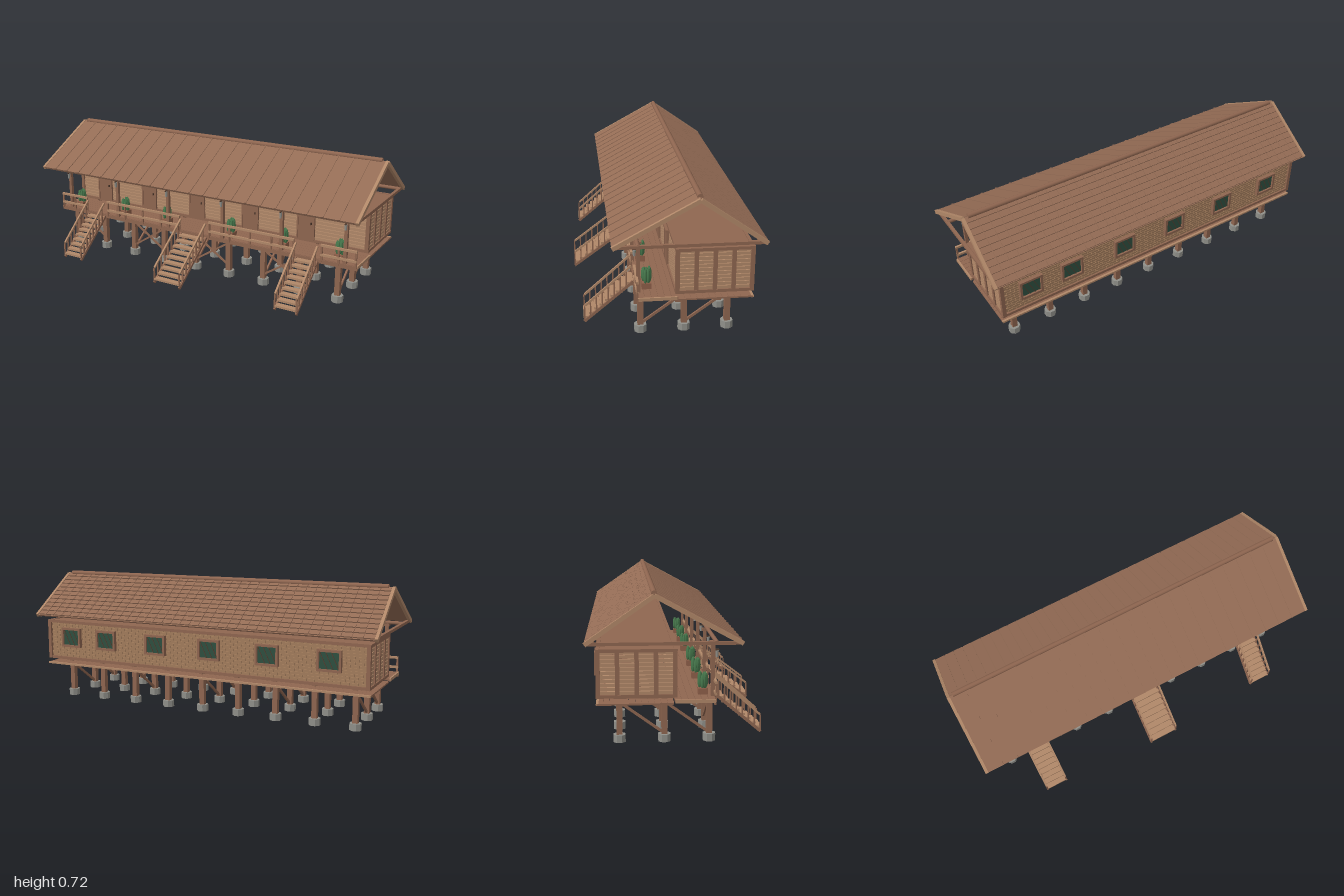
import * as THREE from 'three';
import { mergeGeometries } from 'three/addons/utils/BufferGeometryUtils.js';

const paint = (name, color) => {
  const m = new THREE.MeshStandardMaterial({ color });
  m.name = name;
  return m;
};

// Box centred on a point
function box(w, h, d, x, y, z) {
  return new THREE.BoxGeometry(w, h, d).translate(x, y, z);
}

// Square timber from a to b; w is across, h is thickness
function beam(a, b, w, h) {
  const p = new THREE.Vector3(...a), q = new THREE.Vector3(...b);
  const m = new THREE.Matrix4().lookAt(q, p, new THREE.Vector3(0, 1, 0));
  m.setPosition(p.clone().add(q).multiplyScalar(0.5));
  return new THREE.BoxGeometry(w, h, p.distanceTo(q)).applyMatrix4(m);
}

export function createModel() {
  const timber = paint('timber brown', 0x8f6650);
  const light = paint('light wood', 0xb08768);
  const roofing = paint('roof brown', 0x946c55);
  const dark = paint('dark wood', 0x553e30);
  const weave = paint('woven bamboo', 0xa37d5c);
  const stone = paint('stone grey', 0x90908a);
  const clay = paint('clay', 0x8f604a);
  const leaf = paint('leaf green', 0x47794d);
  const pane = paint('dark green glass', 0x2f4f40);

  const root = new THREE.Group();
  root.name = 'longhouse';
  const part = (name, material, list) => {
    const mesh = new THREE.Mesh(mergeGeometries(list.map(g => g.index ? g.toNonIndexed() : g)), material);
    mesh.name = name;
    root.add(mesh);
  };

  // Stilts on octagonal stone footings, with braces
  const stiltX = Array.from({ length: 9 }, (_, i) => -0.86 + i * 0.215);
  const stiltZ = [0.135, -0.075, -0.285];
  const stilts = [], footings = [], braces = [], joists = [];
  stiltX.forEach((x, i) => {
    for (const z of stiltZ) {
      stilts.push(box(0.028, 0.19, 0.028, x, 0.13, z));
      footings.push(new THREE.CylinderGeometry(0.031, 0.031, 0.036, 8).toNonIndexed()
        .rotateY(Math.PI / 8).translate(x, 0.022, z));
    }
    joists.push(box(0.02, 0.013, 0.46, x, 0.216, -0.08));
    if (i % 2 === 0) for (const z of [0.122, -0.088])
      braces.push(beam([x, 0.05, z], [x, 0.185, z - 0.185], 0.01, 0.012));
    if (i % 2 === 0 && i < 8) {
      braces.push(beam([x, 0.06, 0.14], [x + 0.215, 0.2, 0.14], 0.008, 0.01));
      braces.push(beam([x, 0.2, 0.13], [x + 0.215, 0.06, 0.13], 0.008, 0.01));
    }
  });
  footings.forEach(g => g.computeVertexNormals());
  part('stilts', timber, stilts);
  part('footings', stone, footings);
  part('braces', timber, braces);
  part('joists', timber, joists);

  // Veranda deck and house floor
  const deck = [];
  for (let i = 0; i < 6; i++) deck.push(box(1.92, 0.013, 0.0295, 0, 0.219, 0.138 - i * 0.031));
  part('deckBoards', timber, deck);
  part('deckEnds', light, [-1, 1].map(s => box(0.008, 0.016, 0.182, s * 0.963, 0.218, 0.062)));
  part('deckEdge', timber, [box(1.93, 0.022, 0.01, 0, 0.212, 0.152)]);
  const floor = [];
  for (let i = 0; i < 12; i++) floor.push(box(1.92, 0.008, 0.0285, 0, 0.207, -0.05 - i * 0.0293));
  part('floorBoards', timber, floor);
  part('floorEdge', light, [box(1.92, 0.01, 0.012, 0, 0.207, -0.384)]);

  // Open slatted end walls and front wall in timber frames
  part('ceiling', timber, [box(1.89, 0.006, 0.34, 0, 0.454, -0.205)]);
  const frames = [], slats = [];
  for (const s of [-1, 1]) {
    for (let i = 0; i < 5; i++) frames.push(box(0.02, 0.225, 0.02, s * 0.945, 0.3475, -0.03 - i * 0.0875));
    for (const y of [0.2425, 0.4525]) frames.push(box(0.022, 0.015, 0.365, s * 0.945, y, -0.205));
    for (let i = 0; i < 11; i++) slats.push(box(0.012, 0.0155, 0.34, s * 0.943, 0.257 + i * 0.0186, -0.205));
  }
  for (const z of [-0.028, -0.38])
    for (const y of [0.2425, 0.4525]) frames.push(box(1.9, 0.015, 0.016, 0, y, z));
  for (let i = 0; i < 11; i++) slats.push(box(1.87, 0.0155, 0.01, 0, 0.257 + i * 0.0186, -0.032));
  part('wallFrames', timber, frames);
  part('wallSlats', light, slats);

  // Back wall of staggered woven strips
  const strips = [box(1.88, 0.205, 0.008, 0, 0.3475, -0.371)];
  for (let r = 0; r < 14; r++) for (let c = 0; c < 42; c++)
    strips.push(box(0.041, 0.0122, 0.006, -0.92 + c * 0.0444 + (r % 2) * 0.02, 0.257 + r * 0.0145, -0.377));
  part('wovenBackWall', weave, strips);

  // Back windows with lattice
  const winFrames = [], panes = [], lattice = [];
  for (const x of [0.79, 0.555, 0.235, -0.09, -0.42, -0.75]) {
    for (const s of [-1, 1]) {
      winFrames.push(box(0.012, 0.11, 0.022, x + s * 0.057, 0.365, -0.389));
      winFrames.push(box(0.126, 0.012, 0.022, x, 0.365 + s * 0.049, -0.389));
    }
    panes.push(box(0.106, 0.09, 0.009, x, 0.365, -0.385));
    for (const o of [-0.03, 0, 0.03])
      lattice.push(beam([x + o - 0.02, 0.322, -0.391], [x + o + 0.02, 0.408, -0.391], 0.003, 0.003));
  }
  part('windowFrames', timber, winFrames);
  part('windowPanes', pane, panes);
  part('windowLattice', dark, lattice);

  // Front doors
  const doors = [], doorFrames = [], handles = [];
  for (const x of [-0.765, -0.43, -0.09, 0.26, 0.6]) {
    doors.push(box(0.088, 0.175, 0.012, x, 0.335, -0.026));
    for (const s of [-1, 1]) doorFrames.push(box(0.008, 0.185, 0.016, x + s * 0.048, 0.338, -0.024));
    doorFrames.push(box(0.115, 0.01, 0.024, x, 0.428, -0.022));
    handles.push(box(0.006, 0.012, 0.01, x + 0.032, 0.34, -0.016));
  }
  part('doors', timber, doors);
  part('doorFrames', timber, doorFrames);
  part('doorHandles', dark, handles);

  // Veranda posts, lamps and potted plants
  const postX = Array.from({ length: 6 }, (_, i) => -0.895 + i * 0.358);
  const posts = [], lamps = [], hooks = [], pots = [], leaves = [];
  postX.forEach((x, i) => {
    posts.push(box(0.018, 0.28, 0.018, x, 0.345, 0.147));
    posts.push(box(0.026, 0.012, 0.03, x, 0.478, 0.147));
    hooks.push(box(0.006, 0.006, 0.022, x, 0.443, 0.164));
    lamps.push(new THREE.CylinderGeometry(0.008, 0.006, 0.03, 8).translate(x, 0.425, 0.165));
    const px = [-0.85, -0.515, -0.215, 0.21, 0.53, 0.85][i];
    pots.push(box(0.046, 0.03, 0.046, px, 0.241, 0.105));
    for (let k = 0; k < 11; k++) {
      const a = k * 2.4, r = k ? 0.016 : 0;
      leaves.push(new THREE.IcosahedronGeometry(1, 1).scale(0.0095, 0.036 + (k % 3) * 0.003, 0.0095)
        .translate(px + Math.cos(a) * r, 0.287 + (k % 4) * 0.003, 0.105 + Math.sin(a) * r));
    }
  });
  part('verandaPosts', timber, posts);
  part('lampHooks', dark, hooks);
  part('lamps', stone, lamps);
  part('plantPots', clay, pots);
  part('plantLeaves', leaf, leaves);

  // Veranda railing, open at the stairs
  const rails = [], balusters = [];
  for (const [a, b] of [[-0.96, -0.765], [-0.615, -0.095], [0.095, 0.615], [0.765, 0.96]]) {
    for (const y of [0.302, 0.25]) rails.push(box(b - a, 0.012, 0.012, (a + b) / 2, y, 0.156));
    const n = Math.max(2, Math.round((b - a) / 0.13));
    for (let i = 0; i <= n; i++)
      balusters.push(box(0.01, 0.09, 0.008, a + 0.005 + (b - a - 0.01) * i / n, 0.258, 0.156));
  }
  part('verandaRails', light, rails);
  part('verandaBalusters', timber, balusters);

  // Three stairs with handrails
  const stringers = [], treads = [], handrails = [], stairBalusters = [];
  for (const [x, w, end] of [[-0.69, 0.13, 0.4], [0, 0.172, 0.438], [0.69, 0.13, 0.4]]) {
    for (const s of [-1, 1]) {
      const sx = x + s * (w / 2 - 0.005);
      stringers.push(beam([sx, 0.008, end], [sx, 0.21, 0.16], 0.01, 0.014));
      handrails.push(beam([sx, 0.093, end - 0.005], [sx, 0.294, 0.168], 0.01, 0.01));
      for (let i = 0; i < 8; i++) {
        const t = i / 8;
        stairBalusters.push(box(0.008, 0.08, 0.007, sx, 0.05 + t * 0.2, end - 0.002 - t * (end - 0.165)));
      }
    }
    for (let i = 0; i < 9; i++) {
      const t = (i + 0.5) / 9;
      treads.push(box(w - 0.012, 0.011, 0.034, x, 0.018 + t * 0.195, end - t * (end - 0.16)));
    }
  }
  part('stairStringers', timber, stringers);
  part('stairTreads', light, treads);
  part('stairHandrails', light, handrails);
  part('stairBalusters', timber, stairBalusters);

  // Gable tie beams, barge boards and round wall plates
  const ties = [], plates = [], barges = [];
  const ridge = [0.704, -0.125];
  const eaves = [[0.488, 0.272], [0.488, -0.436]];
  for (const s of [-1, 1]) {
    ties.push(box(0.016, 0.015, 0.69, s * 0.98, 0.489, -0.082));
    for (const [y, z] of eaves) barges.push(beam([s * 0.991, y, z], [s * 0.991, ...ridge], 0.016, 0.02));
  }
  for (const z of [0.155, -0.405])
    plates.push(new THREE.CylinderGeometry(0.01, 0.01, 1.96, 8).rotateZ(Math.PI / 2).translate(0, 0.49, z));
  part('tieBeams', timber, ties);
  part('wallPlates', timber, plates);
  part('bargeBoards', light, barges);

  // Front slope of long boards, each joint covered by a narrow batten
  const [fy, fz] = eaves[0], [by, bz] = eaves[1];
  const frontRoof = [beam([0, fy + 0.002, fz], [0, ridge[0] + 0.002, ridge[1]], 1.966, 0.012)];
  for (let i = 1; i < 23; i++) {
    const x = -0.985 + i * 1.97 / 23;
    frontRoof.push(beam([x, fy + 0.006, fz + 0.002], [x, ridge[0] + 0.006, ridge[1]], 0.008, 0.01));
  }
  part('frontRoof', roofing, frontRoof);

  // Back slope of overlapping shingles
  part('backRoofBase', roofing, [beam([0, by, bz], [0, ...ridge], 1.966, 0.008)]);
  const shingles = [], rows = 11, cols = 36, step = 1.966 / cols;
  for (let r = 0; r < rows; r++) for (let c = 0; c < cols; c++) {
    const at = (t, lift) => [-0.983 + (c + 0.5) * step, by + (ridge[0] - by) * t + lift, bz + (ridge[1] - bz) * t];
    shingles.push(beam(at(r / rows, 0.009), at((r + 1) / rows, 0.004), step - 0.003, 0.006));
  }
  part('backRoofShingles', roofing, shingles);

  // Ridge cap
  part('ridgeCap', timber, [new THREE.CylinderGeometry(0.014, 0.014, 1.93, 10).rotateZ(Math.PI / 2).translate(0, 0.711, -0.125)]);
  return root;
}
